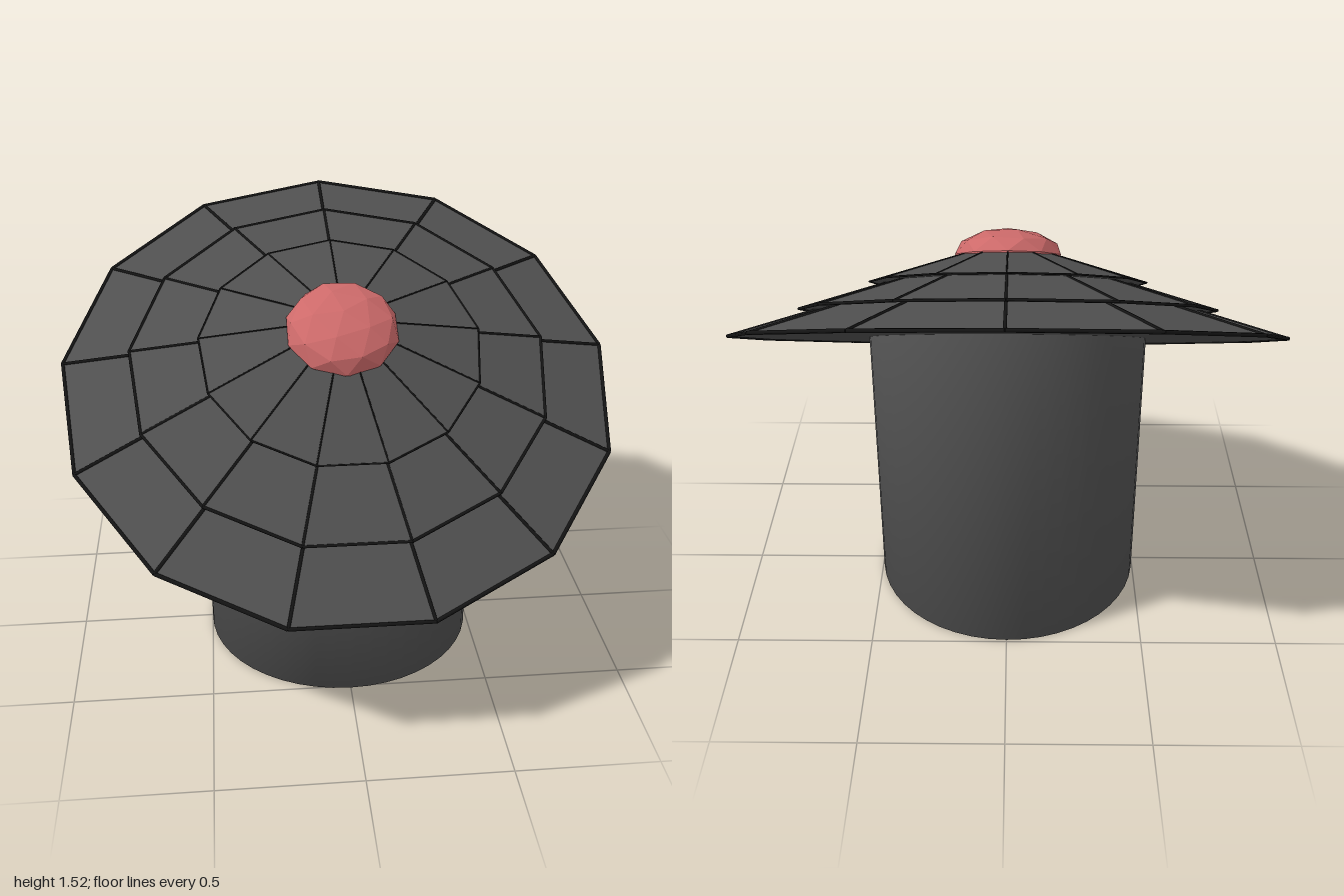
import * as THREE from 'three';
import { mergeVertices } from 'three/addons/utils/BufferGeometryUtils.js';

const SIDES = 13;
const TILT = Math.PI / 6;
const CENTRE = new THREE.Vector3(0, 1.007, 0.012);

// Thin round bar between two points
function bar(a, b, radius, material) {
  const dir = b.clone().sub(a);
  const mesh = new THREE.Mesh(new THREE.CylinderGeometry(radius, radius, dir.length(), 6), material);
  mesh.position.copy(a).add(b).multiplyScalar(0.5);
  mesh.quaternion.setFromUnitVectors(new THREE.Vector3(0, 1, 0), dir.normalize());
  return mesh;
}

// Shallow faceted cone with dark seams on its ridges and rim
function shadeTier(name, radius, base, seamRadius, panelMat, seamMat) {
  const tier = new THREE.Group();
  tier.name = name;
  const height = radius * 0.31;
  const cone = new THREE.Mesh(new THREE.ConeGeometry(radius, height, SIDES, 1, false, Math.PI), panelMat);
  cone.name = 'panels';
  cone.position.y = height / 2;
  tier.add(cone);

  const apex = new THREE.Vector3(0, height, 0);
  const corner = (i) => {
    const a = Math.PI + (i / SIDES) * Math.PI * 2;
    return new THREE.Vector3(Math.sin(a) * radius, 0, Math.cos(a) * radius);
  };
  for (let i = 0; i < SIDES; i++) {
    const rim = bar(corner(i), corner(i + 1), seamRadius, seamMat);
    rim.name = 'rimEdge';
    const seam = bar(corner(i), apex, seamRadius * 0.9, seamMat);
    seam.name = 'seam';
    tier.add(rim, seam);
  }
  tier.position.y = base;
  return tier;
}

export function createModel() {
  const group = new THREE.Group();
  group.name = 'tiltedTieredShade';

  const grey = new THREE.MeshStandardMaterial({ color: 0x505050 });
  grey.name = 'columnGrey';
  const panelGrey = new THREE.MeshStandardMaterial({ color: 0x505050, flatShading: true });
  panelGrey.name = 'panelGrey';
  const black = new THREE.MeshStandardMaterial({ color: 0x141414 });
  black.name = 'seamBlack';
  const red = new THREE.MeshStandardMaterial({ color: 0xcd6a6a, flatShading: true });
  red.name = 'domeRed';

  // Column with a slanted top, normals blended across its edges
  let columnGeo = new THREE.CylinderGeometry(0.5, 0.5, 1, 48);
  columnGeo.translate(0, 0.5, 0.01);
  const pos = columnGeo.attributes.position;
  for (let i = 0; i < pos.count; i++) {
    if (pos.getY(i) > 0.5) pos.setY(i, CENTRE.y - Math.tan(TILT) * (pos.getZ(i) - CENTRE.z));
  }
  columnGeo.deleteAttribute('normal');
  columnGeo.deleteAttribute('uv');
  columnGeo = mergeVertices(columnGeo);
  columnGeo.computeVertexNormals();
  const column = new THREE.Mesh(columnGeo, grey);
  column.name = 'column';
  group.add(column);

  // Tilted stack of three tiers
  const head = new THREE.Group();
  head.name = 'head';
  head.position.copy(CENTRE);
  head.rotation.x = TILT;
  head.add(
    shadeTier('outerTier', 1.003, 0, 0.007, panelGrey, black),
    shadeTier('middleTier', 0.753, 0.1, 0.0055, panelGrey, black),
    shadeTier('innerTier', 0.502, 0.2, 0.0035, panelGrey, black)
  );

  // Flattened faceted dome in the centre
  const domeGeo = new THREE.IcosahedronGeometry(0.2, 1);
  domeGeo.rotateZ(Math.atan(2 / (1 + Math.sqrt(5))));
  domeGeo.scale(1, 0.5, 1);
  const dome = new THREE.Mesh(domeGeo, red);
  dome.name = 'dome';
  dome.position.y = 0.3;
  head.add(dome);

  group.add(head);
  return group;
}
